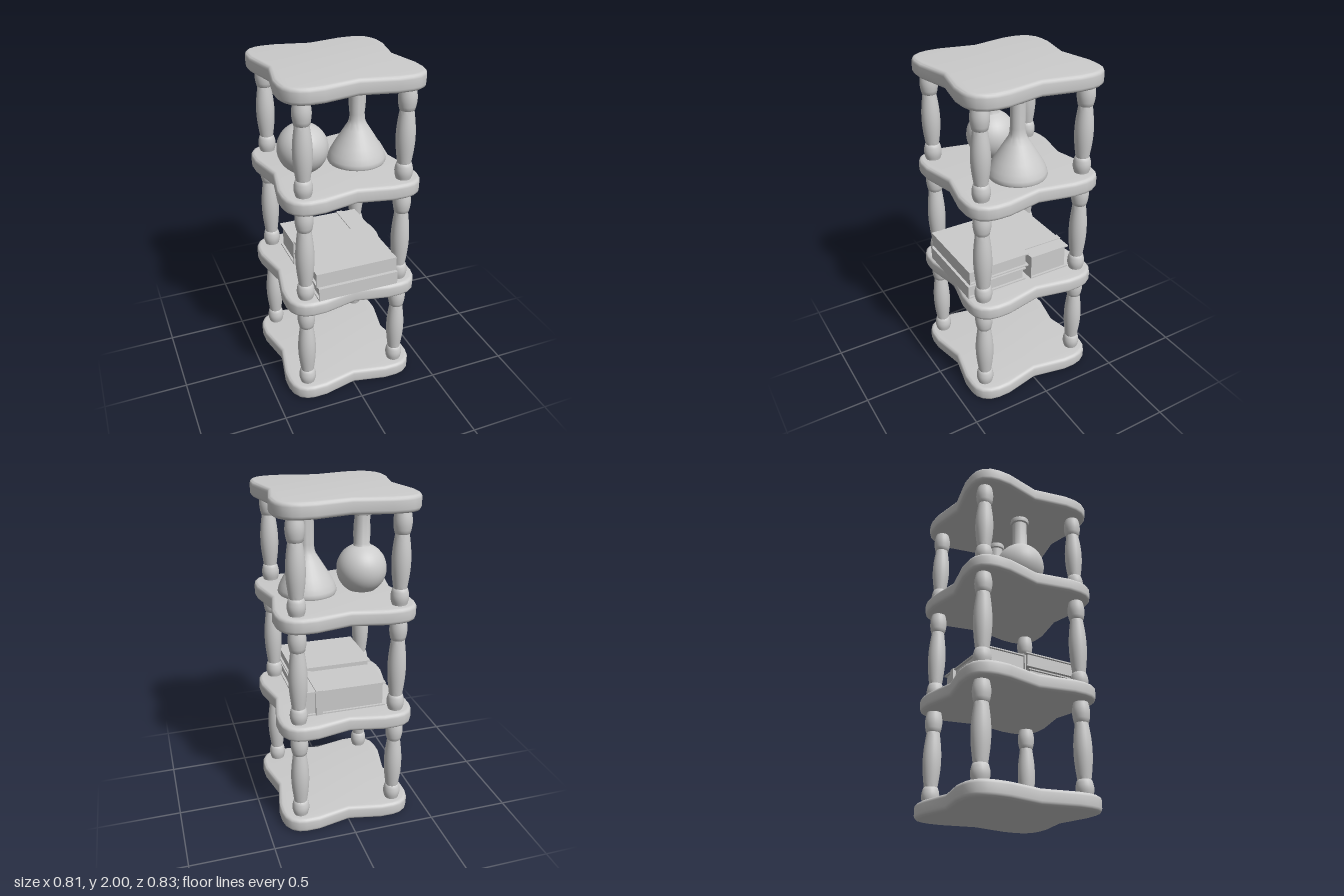
import * as THREE from 'three';
import { toCreasedNormals } from 'three/addons/utils/BufferGeometryUtils.js';

const grey = new THREE.MeshStandardMaterial({ color: 0xcccccc, side: THREE.DoubleSide });

function add(parent, name, geometry, x = 0, y = 0, z = 0) {
  const mesh = new THREE.Mesh(geometry, grey);
  mesh.name = name;
  mesh.position.set(x, y, z);
  parent.add(mesh);
  return mesh;
}

function box(parent, name, [x0, x1], [y0, y1], [z0, z1]) {
  return add(parent, name, new THREE.BoxGeometry(x1 - x0, y1 - y0, z1 - z0),
    (x0 + x1) / 2, (y0 + y1) / 2, (z0 + z1) / 2);
}

function lathe(points, segments) {
  const geo = new THREE.LatheGeometry(points.map(([r, y]) => new THREE.Vector2(r, y)), segments);
  return toCreasedNormals(geo, 0.7);
}

// Shelf board: rounded lobes at the corners, a shallow notch in each side
function shelfGeometry(thickness) {
  const corner = [[0.362, 0], [0.405, 0.208], [0.405, 0.285], [0.394, 0.335], [0.366, 0.38],
    [0.325, 0.406], [0.28, 0.415], [0.2, 0.415], [0, 0.372]];
  const outline = [];
  for (const [sx, sz] of [[1, 1], [-1, 1], [-1, -1], [1, -1]]) {
    const pts = corner.map(([x, z]) => new THREE.Vector2(x * sx, z * sz));
    if (sx * sz < 0) pts.reverse();
    outline.push(...pts.slice(0, -1));
  }
  const bevel = 0.022;
  const geo = new THREE.ExtrudeGeometry(new THREE.Shape(outline), {
    depth: thickness - 2 * bevel, bevelEnabled: true, bevelThickness: bevel,
    bevelSize: bevel, bevelOffset: -bevel, bevelSegments: 4,
  });
  geo.translate(0, 0, bevel).rotateX(-Math.PI / 2);
  return toCreasedNormals(geo, 0.75);
}

// Turned post: a bulged collar at each end and a swelling shaft between
function postGeometry(height) {
  const collar = 0.09;
  const pts = [[0.041, -0.01]];
  const bulge = (y0, y1, r, swell, steps) => {
    for (let i = 0; i <= steps; i++) {
      const t = i / steps;
      pts.push([r + swell * Math.sin(Math.PI * t), y0 + (y1 - y0) * t]);
    }
  };
  bulge(0, collar, 0.043, 0.009, 6);
  bulge(collar + 0.004, height - collar - 0.034, 0.039, 0.015, 14);
  bulge(height - collar - 0.03, height, 0.043, 0.009, 6);
  pts.push([0.041, height + 0.01]);
  return lathe(pts, 24);
}

// Book lying flat: two covers, page block and a spine on the front edge
function book(parent, name, x, y, z) {
  const g = new THREE.Group();
  g.name = name;
  const t = 0.008, inset = 0.014;
  box(g, 'lowerCover', x, [y[0], y[0] + t], z);
  box(g, 'upperCover', x, [y[1] - t, y[1]], z);
  box(g, 'spine', x, y, [z[1] - t, z[1]]);
  box(g, 'pages', [x[0] + inset, x[1] - inset], [y[0] + t, y[1] - t], [z[0] + inset, z[1] - t]);
  parent.add(g);
  return g;
}

export function createModel() {
  const model = new THREE.Group();
  model.name = 'shelfUnit';

  // Shelves
  const thickness = 0.09;
  const levels = [0.005, 0.64, 1.298, 1.91];
  const board = shelfGeometry(thickness);
  levels.forEach((y) => add(model, 'shelf', board, 0, y, 0));

  // Posts between the shelves
  for (let i = 0; i < 3; i++) {
    const base = levels[i] + thickness;
    const post = postGeometry(levels[i + 1] - base);
    for (const x of [-0.295, 0.295]) {
      for (const z of [-0.325, 0.325]) add(model, 'post', post, x, base, z);
    }
  }

  // Round flask: cut sphere, straight neck and lip
  const floor = levels[2] + thickness;
  const round = [[0, 0], [0.085, 0]];
  for (let i = 0; i <= 16; i++) {
    const a = -0.93 + (0.93 + 1.22) * (i / 16);
    round.push([0.148 * Math.cos(a), 0.122 + 0.148 * Math.sin(a)]);
  }
  round.push([0.045, 0.275], [0.045, 0.437], [0.056, 0.441], [0.058, 0.455],
    [0.056, 0.47], [0.036, 0.47], [0.034, 0.3], [0, 0.29]);
  add(model, 'roundFlask', lathe(round, 32), -0.18, floor, -0.005);

  // Conical flask: flared body, straight neck and lip
  const cone = [[0, 0], [0.155, 0], [0.167, 0.004], [0.172, 0.015], [0.168, 0.035], [0.155, 0.068],
    [0.13, 0.112], [0.1, 0.16], [0.073, 0.203], [0.053, 0.235], [0.045, 0.26], [0.043, 0.29],
    [0.043, 0.437], [0.051, 0.442], [0.053, 0.456], [0.051, 0.472],
    [0.034, 0.472], [0.033, 0.3], [0, 0.29]];
  add(model, 'conicalFlask', lathe(cone, 32), 0.146, floor, 0.012);

  // Books: a stack of two in front, a thick strapped one behind
  book(model, 'lowerBook', [-0.24, 0.255], [0.73, 0.812], [0.012, 0.4]);
  book(model, 'upperBook', [-0.25, 0.25], [0.818, 0.905], [-0.01, 0.387]);
  const thick = book(model, 'thickBook', [-0.25, 0.27], [0.73, 0.883], [-0.28, -0.016]);
  box(thick, 'strap', [0.14, 0.18], [0.73, 0.888], [-0.284, -0.013]);
  return model;
}
